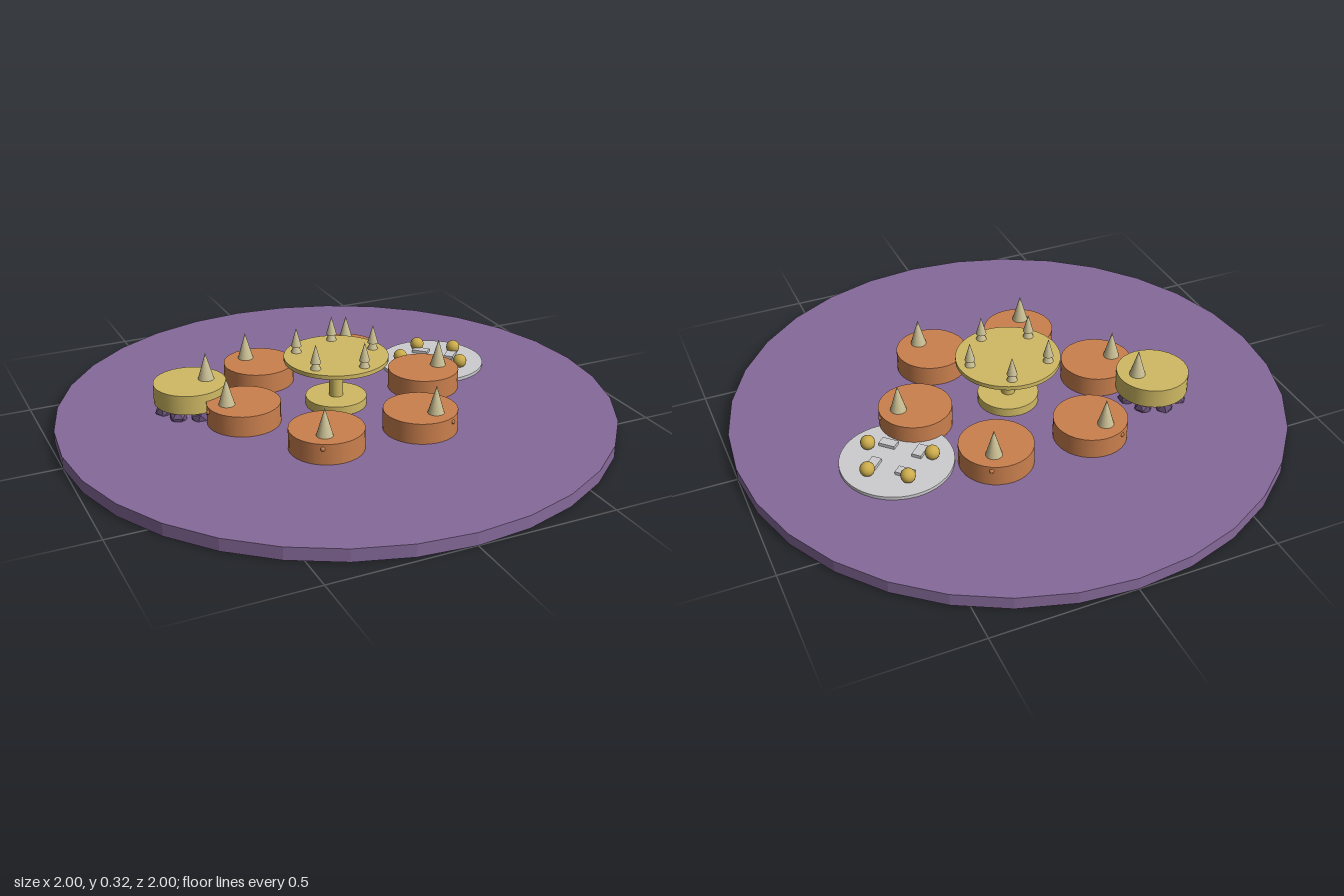
import * as THREE from 'three';

const mat = (name, color) => new THREE.MeshStandardMaterial({ name, color });

export function createModel() {
  const purple = mat('purple', 0x866a9a);
  purple.flatShading = true;
  const darkPurple = mat('darkPurple', 0x6a527c);
  darkPurple.flatShading = true;
  const orange = mat('orange', 0xcb804e);
  const gold = mat('gold', 0xd0ba64);
  const bone = mat('bone', 0xcabf94);
  const silver = mat('silver', 0xcdcdd0);
  const brass = mat('brass', 0xccac4c);

  const root = new THREE.Group();
  root.name = 'tableSetting';

  function add(parent, name, geometry, material, x, y, z) {
    const mesh = new THREE.Mesh(geometry, material);
    mesh.name = name;
    mesh.position.set(x, y, z);
    parent.add(mesh);
    return mesh;
  }
  function group(name, x, z) {
    const g = new THREE.Group();
    g.name = name;
    g.position.set(x, 0, z);
    root.add(g);
    return g;
  }
  // upright cylinder or cone between two heights
  function disc(parent, name, material, rTop, rBottom, y0, y1, x = 0, z = 0, sides = 32) {
    return add(parent, name, new THREE.CylinderGeometry(rTop, rBottom, y1 - y0, sides),
      material, x, (y0 + y1) / 2, z);
  }

  // broad round base
  disc(root, 'base', purple, 1, 1, 0, 0.045);

  // ring of six drums, each with a cone near its outer edge and a small stud
  for (let i = 0; i < 6; i++) {
    const a = i * Math.PI / 3;
    const g = group('drum', 0.355 * Math.cos(a), 0.355 * Math.sin(a));
    g.rotation.y = -a;
    disc(g, 'drumBody', orange, 0.13, 0.13, 0.045, 0.12);
    disc(g, 'drumCone', bone, 0, 0.029, 0.12, 0.22, 0.062, 0, 16);
    add(g, 'drumStud', new THREE.SphereGeometry(0.008, 10, 8), orange, 0.129, 0.103, 0);
  }

  // central pedestal with a tray and five finials
  const stand = group('centreStand', 0, 0);
  disc(stand, 'standFoot', gold, 0.11, 0.11, 0.045, 0.078);
  disc(stand, 'standStem', gold, 0.025, 0.025, 0.078, 0.217, 0, 0, 20);
  disc(stand, 'standTray', gold, 0.187, 0.187, 0.217, 0.232, 0, 0, 48);
  for (let i = 0; i < 5; i++) {
    const a = i * Math.PI * 2 / 5;
    const x = 0.145 * Math.cos(a), z = 0.145 * Math.sin(a);
    disc(stand, 'finialFoot', bone, 0.005, 0.019, 0.232, 0.268, x, z, 12);
    disc(stand, 'finialTip', bone, 0, 0.019, 0.255, 0.323, x, z, 12);
  }

  // raised gold drum resting on a ring of rough lumps
  const raised = group('raisedDrum', -0.49, -0.18);
  disc(raised, 'raisedBody', gold, 0.13, 0.13, 0.077, 0.148);
  disc(raised, 'raisedCone', bone, 0, 0.029, 0.148, 0.247, 0.062, 0, 16);
  for (let i = 0; i < 8; i++) {
    const a = i * Math.PI / 4;
    const lump = add(raised, 'supportLump', new THREE.IcosahedronGeometry(0.034, 0), darkPurple,
      0.098 * Math.cos(a), 0.052, 0.098 * Math.sin(a));
    lump.rotation.set(i, i * 1.7, 0);
  }

  // silver plate with five balls and four small blocks
  const plate = group('plate', 0.49, -0.18);
  disc(plate, 'plateDisc', silver, 0.197, 0.197, 0.045, 0.057, 0, 0, 48);
  for (let i = 0; i < 5; i++) {
    const a = -Math.PI / 2 + 0.02 + i * Math.PI * 2 / 5;
    add(plate, 'plateBall', new THREE.SphereGeometry(0.026, 16, 12), brass,
      0.121 * Math.cos(a), 0.078, 0.121 * Math.sin(a));
  }
  for (let i = 0; i < 4; i++) {
    const a = i * Math.PI / 2;
    const block = add(plate, 'plateBlock', new THREE.BoxGeometry(0.06, 0.014, 0.035), silver,
      0.084 * Math.cos(a), 0.062, 0.084 * Math.sin(a));
    block.rotation.y = Math.PI / 4 + a;
  }

  return root;
}
